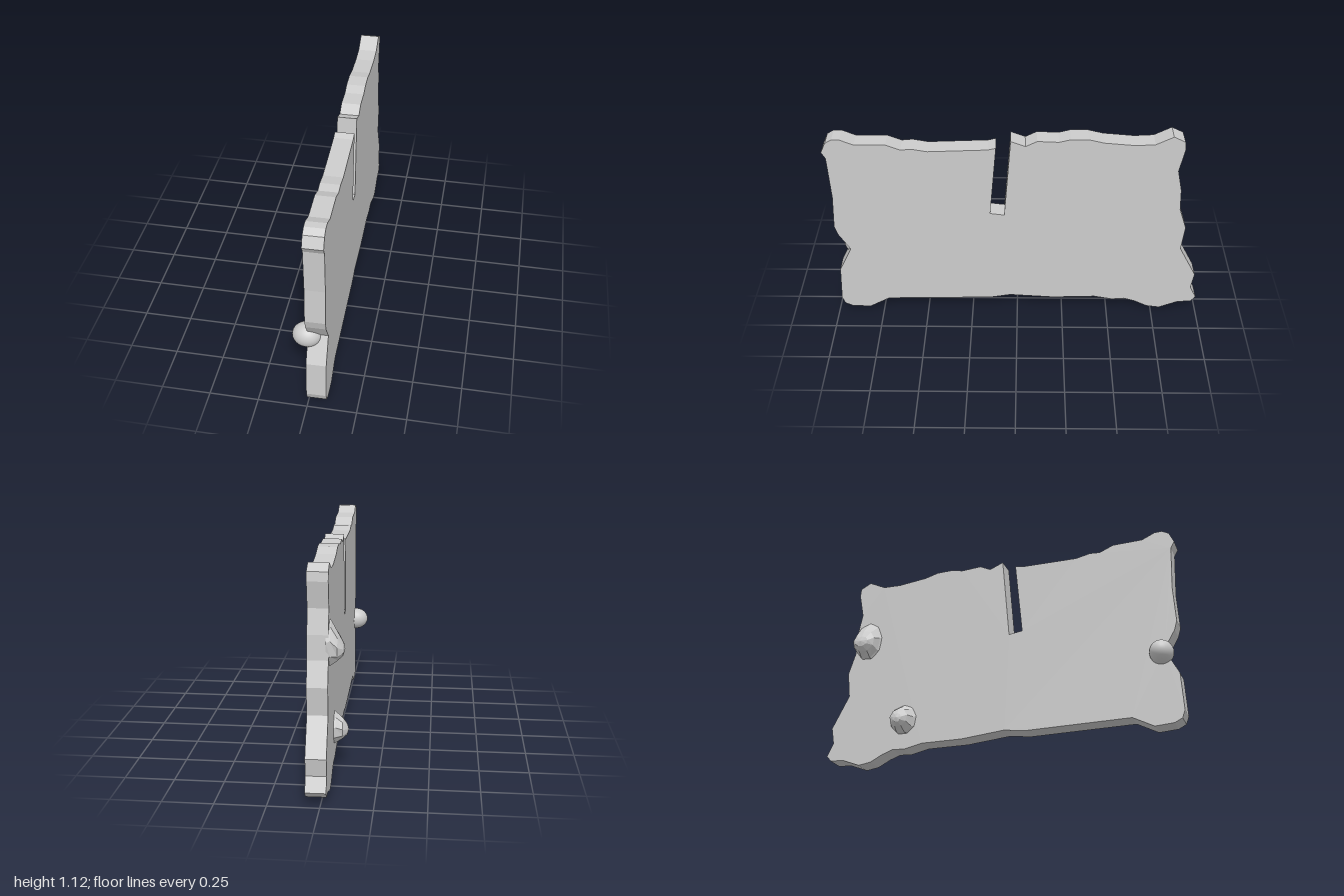
import * as THREE from 'three';

// slab outline as [z, y], clockwise from the front top corner
const OUTLINE = [
  [1, 1.035], [0.975, 1.09], [0.94, 1.11], [0.9, 1.11], [0.83, 1.08], [0.67, 1.08],
  [0.595, 1.05], [0.54, 1.055], [0.46, 1.04], [0.15, 1.05], [0.11, 1.06],
  [0.145, 0.655], [0.07, 0.645], [0.035, 1.1], // slot
  [-0.04, 1.07], [-0.1, 1.1], [-0.21, 1.095], [-0.27, 1.11], [-0.36, 1.11], [-0.44, 1.09],
  [-0.6, 1.075], [-0.7, 1.08], [-0.79, 1.125], [-0.85, 1.095], [-0.855, 1.05],
  [-0.83, 0.92], [-0.855, 0.8], [-0.86, 0.68], [-0.9, 0.56], [-0.885, 0.42], [-0.98, 0.24],
  [-0.965, 0.15], [-1, 0.08], [-0.975, 0.05], [-0.9, 0.045], [-0.8, 0.005], [-0.73, 0.015],
  [-0.66, 0.05], [-0.6, 0.07], [-0.53, 0.065], [-0.43, 0.085], [-0.2, 0.08], [0.04, 0.098],
  [0.15, 0.08], [0.72, 0.075], [0.83, 0.015], [0.93, 0.02], [0.97, 0.04], [0.985, 0.08],
  [0.975, 0.28], [0.905, 0.42], [0.965, 0.52], [0.98, 0.57], [0.97, 0.76], [0.98, 1],
];

// faceted lump growing toward -x from rings [x, yMin, yMax, zMin, zMax]
function lumpGeometry(rings, sides = 9) {
  const pos = [], index = [];
  rings.forEach(([x, y0, y1, z0, z1], i) => {
    for (let j = 0; j < sides; j++) {
      const a = ((j + 0.15 * (i % 2)) / sides) * Math.PI * 2;
      pos.push(x, (y0 + y1) / 2 + ((y1 - y0) / 2) * Math.cos(a),
        (z0 + z1) / 2 + ((z1 - z0) / 2) * Math.sin(a));
      if (i === rings.length - 1) continue;
      const A = i * sides + j, B = i * sides + ((j + 1) % sides), C = A + sides, D = B + sides;
      index.push(A, C, B, C, D, B);
    }
  });
  const indexed = new THREE.BufferGeometry();
  indexed.setAttribute('position', new THREE.Float32BufferAttribute(pos, 3));
  indexed.setIndex(index);
  const flat = indexed.toNonIndexed();
  flat.computeVertexNormals();
  return flat;
}

export function createModel() {
  const group = new THREE.Group();
  const stone = new THREE.MeshStandardMaterial({ color: 0xcccccc });
  stone.name = 'plain grey';

  const add = (name, geometry) => {
    const mesh = new THREE.Mesh(geometry, stone);
    mesh.name = name;
    group.add(mesh);
    return mesh;
  };

  // ragged slab with the slot cut into its top, turned very slightly
  const shape = new THREE.Shape(OUTLINE.map(([z, y]) => new THREE.Vector2(-z, y)));
  const slab = new THREE.ExtrudeGeometry(shape, { depth: 0.1, bevelEnabled: false });
  slab.rotateY(Math.PI / 2).translate(-0.0175, 0, 0).rotateY(0.0125);
  add('slab', slab);

  // faceted lumps on the -x face
  add('upperLump', lumpGeometry([
    [-0.015, 0.62, 0.87, -0.865, -0.69],
    [-0.035, 0.635, 0.85, -0.865, -0.705],
    [-0.068, 0.665, 0.795, -0.86, -0.725],
    [-0.092, 0.69, 0.75, -0.835, -0.755],
    [-0.1, 0.72, 0.72, -0.795, -0.795],
  ]));
  add('lowerLump', lumpGeometry([
    [-0.015, 0.145, 0.325, -0.615, -0.46],
    [-0.035, 0.155, 0.31, -0.615, -0.475],
    [-0.068, 0.18, 0.285, -0.605, -0.5],
    [-0.09, 0.2, 0.25, -0.575, -0.525],
    [-0.097, 0.225, 0.225, -0.55, -0.55],
  ]));

  // smooth ball lodged in the side notch
  const ball = add('ball', new THREE.SphereGeometry(1, 32, 20));
  ball.scale.set(0.073, 0.0625, 0.0625);
  ball.position.set(-0.013, 0.4025, 0.892);

  return group;
}
